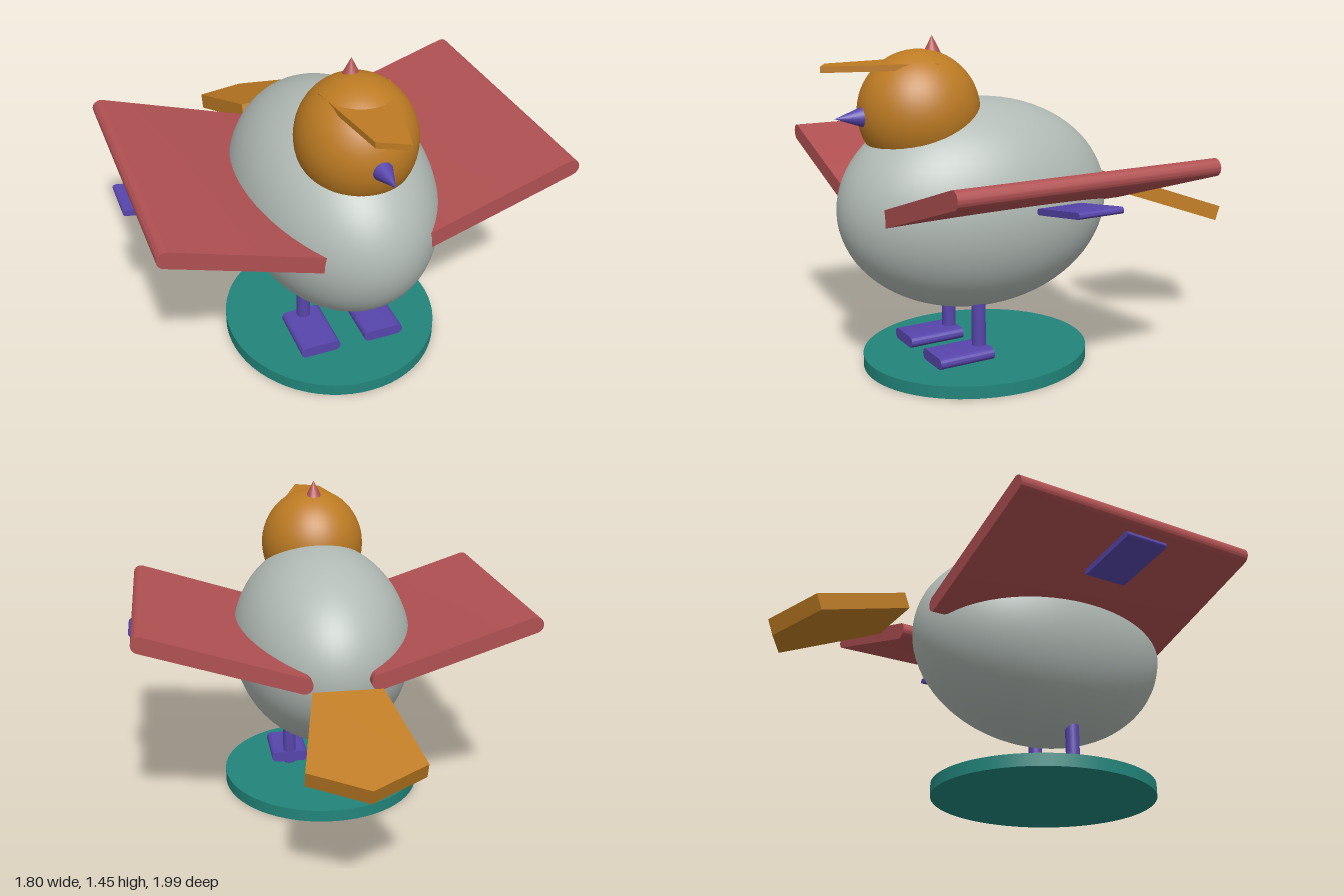
import * as THREE from 'three';
import { toCreasedNormals } from 'three/addons/utils/BufferGeometryUtils.js';

const material = (name, color) => {
  const m = new THREE.MeshStandardMaterial({ color });
  m.name = name;
  return m;
};

// Slab with rounded sides: a capsule section from (ax, ay) to (bx, by), swept from z0 to z1
function roundedSlab(ax, ay, bx, by, r, z0, z1) {
  const t = Math.atan2(by - ay, bx - ax);
  const shape = new THREE.Shape();
  shape.absarc(bx, by, r, t - Math.PI / 2, t + Math.PI / 2);
  shape.absarc(ax, ay, r, t + Math.PI / 2, t + Math.PI * 1.5);
  const geo = new THREE.ExtrudeGeometry(shape, { depth: z1 - z0, bevelEnabled: false, curveSegments: 10 });
  geo.translate(0, 0, z0);
  return toCreasedNormals(geo, 0.6);
}

// Flat plate lying in the ground plane, outlined by [x, z] points
function plate(points, thickness) {
  const shape = new THREE.Shape(points.map(([x, z]) => new THREE.Vector2(x, -z)));
  return new THREE.ExtrudeGeometry(shape, { depth: thickness, bevelEnabled: false }).rotateX(-Math.PI / 2);
}

export function createModel() {
  const grey = material('grey', 0xb1bab5);
  const orange = material('orange', 0xbd7b23);
  const red = material('red', 0xb05052);
  const purple = material('purple', 0x5745ab);
  const teal = material('teal', 0x22857b);

  const model = new THREE.Group();
  const add = (name, geo, mat, x = 0, y = 0, z = 0) => {
    const mesh = new THREE.Mesh(geo, mat);
    mesh.name = name;
    mesh.position.set(x, y, z);
    model.add(mesh);
    return mesh;
  };

  // Oval stand
  add('base', new THREE.CylinderGeometry(0.5, 0.5, 0.055, 64), teal, 0, 0.0275, 0.32).scale.set(0.948, 1, 1.01);

  // Body and head
  add('body', new THREE.SphereGeometry(1, 64, 40), grey, 0, 0.72, 0.31).scale.set(0.42, 0.46, 0.622);
  add('head', new THREE.SphereGeometry(1, 48, 32), orange, 0, 1.135, 0.57).scale.set(0.245, 0.26, 0.26);

  // Beak, crest and cap visor
  add('beak', new THREE.ConeGeometry(0.05, 0.14, 24).rotateX(Math.PI / 2), purple, 0, 1.13, 0.87);
  add('crest', new THREE.ConeGeometry(0.05, 0.1, 24), red, 0, 1.4, 0.505);
  add('visor', plate([[-0.15, 0.545], [-0.09, 0.94], [0.025, 1], [0.15, 0.545]], 0.025), orange, 0, 1.32, 0);

  // Tail slab, drooping backward
  const tail = add('tail', plate([[0.15, 0], [0.24, -0.45], [0, -0.568], [-0.24, -0.45], [-0.15, 0]], 0.07),
    orange, 0, 0.686, -0.433);
  tail.rotation.x = -0.345;

  // Paired wings, under-wing plates, legs and feet
  for (const [side, s] of [['left', 1], ['right', -1]]) {
    add(side + 'Wing', roundedSlab(s * 0.162, 0.73, s * 0.84, 0.95, 0.036, -0.328, 0.83), red);
    add(side + 'WingPlate', roundedSlab(s * 0.613, 0.803, s * 0.887, 0.844, 0.013, 0.155, 0.352), purple);
    add(side + 'Leg', new THREE.CylinderGeometry(0.031, 0.031, 0.26, 24), purple, s * 0.149, 0.183, 0.38);
    add(side + 'Foot', roundedSlab(s * 0.083, 0.091, s * 0.215, 0.091, 0.025, 0.35, 0.605), purple);
  }
  return model;
}
